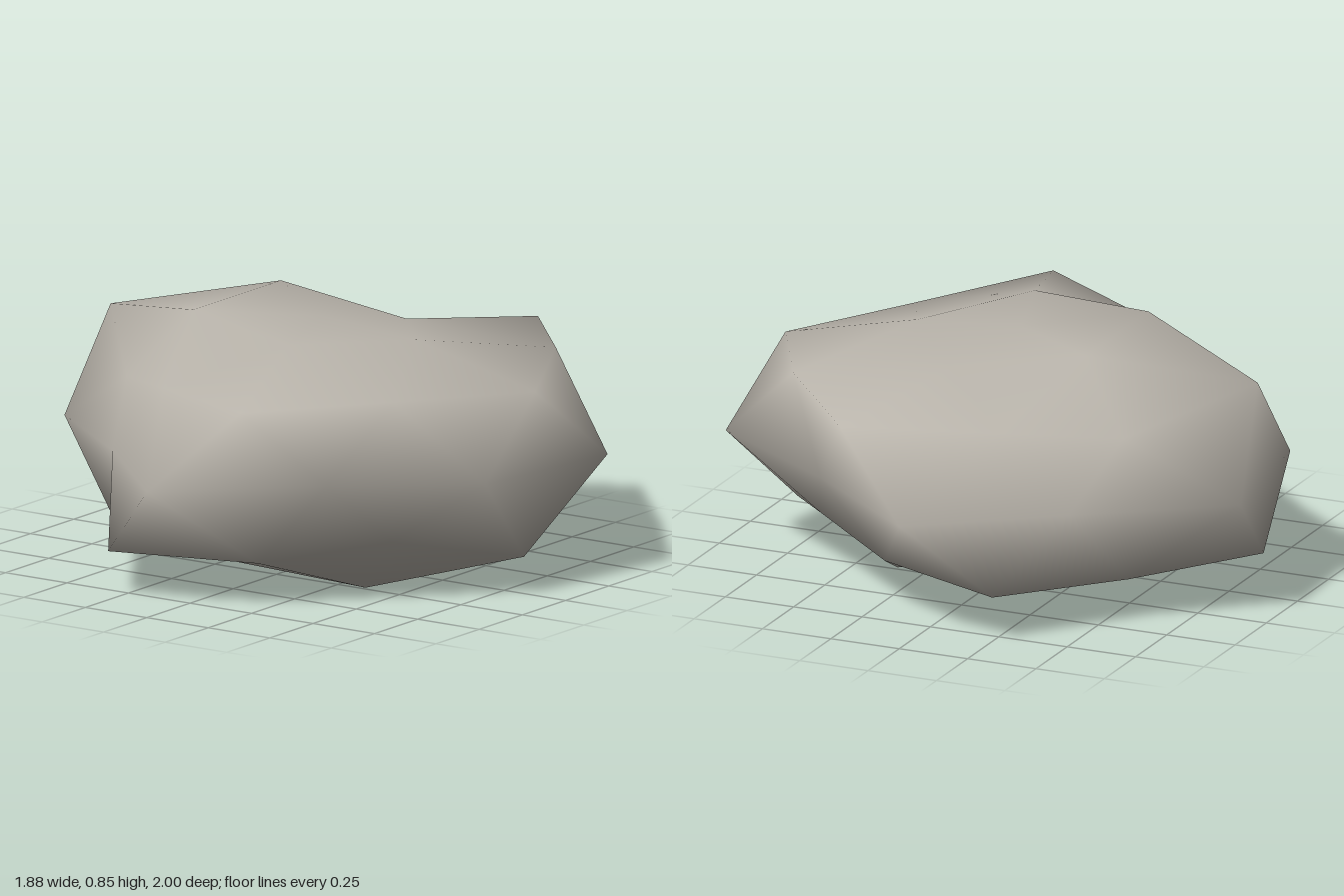
import * as THREE from 'three';

// Stone built as rings of an icosphere, each point pushed in or out by its own factor.
const CENTER_Y = 0.43, SQUASH = 0.61, SHIFT_Z = -0.02;
const CORNER = [0.894, 0.447], MIDDLE = [0.851, 0.526], CAP = [0.526, 0.851];

// start angle in degrees, [radius, height] of even and odd points, factors
const RINGS = [
  { start: 0, even: CAP, odd: CAP, f: [0.72, 0.76, 0.82, 0.82, 0.66] },
  { start: 0, even: CORNER, odd: MIDDLE, f: [0.965, 0.85, 1.045, 0.78, 0.73, 1.015, 0.77, 0.74, 1.0, 0.91] },
  { start: 18, even: [1, 0], odd: [1, 0], f: [0.9, 0.75, 1.02, 0.74, 0.9, 0.99, 0.79, 0.98, 0.77, 0.99] },
  { start: 0, even: MIDDLE, odd: CORNER, f: [0.96, 0.78, 0.86, 1.0, 0.83, 0.99, 0.85, 0.96, 0.79, 0.76], down: true },
  { start: 36, even: CAP, odd: CAP, f: [0.825, 0.73, 0.76, 0.63, 0.8], down: true },
];

function stoneGeometry() {
  const points = [], index = [];
  const add = (x, y, z) => points.push(x, CENTER_Y + y * SQUASH, z + SHIFT_Z) / 3 - 1;
  const tri = (...corners) => index.push(...corners);

  const top = add(0, 0.66, 0);
  const rings = RINGS.map(({ start, even, odd, f, down }) => f.map((k, i) => {
    const a = THREE.MathUtils.degToRad(start + (i * 360) / f.length);
    const [r, h] = i % 2 ? odd : even;
    return add(r * k * Math.cos(a), (down ? -h : h) * k, r * k * Math.sin(a));
  }));
  const bottom = add(0, -0.64, 0);
  const [a, b, c, d, e] = rings.map((ring) => (i) => ring[(i + ring.length) % ring.length]);

  // upper and lower caps
  for (let k = 0; k < 5; k++) {
    const j = 2 * k;
    tri(top, a(k + 1), a(k));
    tri(a(k), b(j + 1), b(j));
    tri(a(k), b(j), b(j - 1));
    tri(a(k), a(k + 1), b(j + 1));
    tri(d(j + 1), d(j + 2), e(k));
    tri(d(j), d(j + 1), e(k));
    tri(d(j + 2), e(k + 1), e(k));
    tri(e(k), e(k + 1), bottom);
  }
  // belt above and below the equator
  for (let j = 0; j < 10; j++) {
    tri(b(j), c(j), c(j - 1));
    tri(b(j), b(j + 1), c(j));
    tri(c(j), d(j + 1), d(j));
    tri(c(j), c(j + 1), d(j + 1));
  }

  const geometry = new THREE.BufferGeometry();
  geometry.setAttribute('position', new THREE.Float32BufferAttribute(points, 3));
  geometry.setIndex(index);
  geometry.computeVertexNormals();
  return geometry;
}

export function createModel() {
  const model = new THREE.Group();
  model.name = 'rock';
  const stone = new THREE.MeshStandardMaterial({ color: 0xb8b3aa });
  stone.name = 'warm grey stone';
  const mesh = new THREE.Mesh(stoneGeometry(), stone);
  mesh.name = 'boulder';
  model.add(mesh);
  return model;
}
